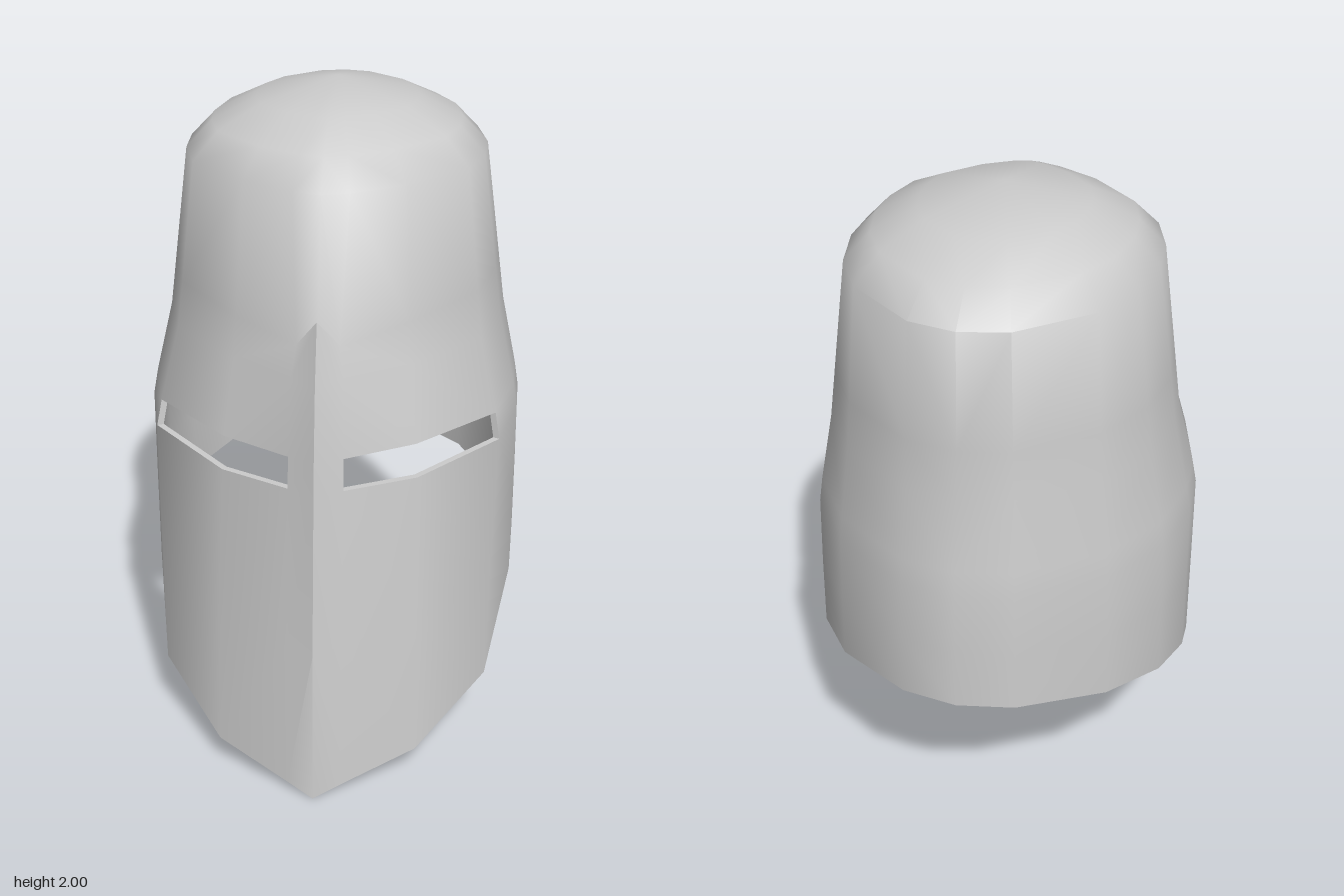
import * as THREE from 'three';
import { toCreasedNormals } from 'three/addons/utils/BufferGeometryUtils.js';

const V = (x, y, z) => new THREE.Vector3(x, y, z);

// Half cross-sections [x, z], from the middle of the back round to the front ridge
const RIM = [[0, -.745], [.17, -.71], [.41, -.54], [.54, -.345], [.585, -.14], [.577, .04], [.505, .355], [.3, .605], [.08, .71], [0, .745]];
const EYE = [[0, -.73], [.165, -.7], [.4, -.535], [.53, -.345], [.58, -.14], [.575, .03], [.52, .265], [.285, .495], [.08, .605], [0, .662]];
const BROW = [[0, -.685], [.155, -.66], [.37, -.51], [.48, -.33], [.52, -.14], [.51, 0], [.455, .2], [.255, .42], [.075, .545], [0, .607]];
const CROWN = [[0, -.655], [.14, -.625], [.34, -.46], [.42, -.31], [.452, -.14], [.445, 0], [.4, .15], [.23, .32], [.08, .405], [0, .43]];

// Heights along a row where it is not level
const RIM_Y = [.62, .615, .58, .54, .485, .415, .22, .1, .03, 0];
const SILL_Y = [1, 1, 1, 1, 1, 1, 1, .98, .985, .985];
const TIP_Y = [1.45, 1.45, 1.45, 1.45, 1.45, 1.45, 1.44, 1.42, 1.39, 1.475];

const mix = (a, b, t) => a.map(([x, z], i) => [x + (b[i][0] - x) * t, z + (b[i][1] - z) * t]);
const row = (section, y) => section.map(([x, z], i) => V(x, Array.isArray(y) ? y[i] : y, z));
const domeRow = (s, y) => row(CROWN.map(([x, z]) => [x * s, -.11 + (z + .11) * s]), y);

function makeRows() {
  const tip = mix(BROW, CROWN, .3);
  tip[8] = [.062, .51];
  tip[9] = [0, .547];
  return [
    row(RIM, RIM_Y),
    row(mix(RIM, EYE, .35), RIM_Y.map((y, i) => (y + SILL_Y[i]) / 2)),
    row(EYE, SILL_Y),
    row(mix(EYE, BROW, .22), 1.08),
    row(BROW, 1.3),
    row(tip, TIP_Y),
    row(CROWN, 1.8),
    domeRow(.83, 1.88),
    domeRow(.54, 1.945),
    domeRow(0, 2),
  ];
}

export function createModel() {
  const group = new THREE.Group();
  group.name = 'helmet';
  const material = new THREE.MeshStandardMaterial({ color: 0xcccccc });

  const rows = makeRows();
  const TIP_ROW = 5, LAST = 9, SLIT_ROW = 2;
  const wallBase = V(0, 1.44, .522); // crown wall just behind the ridge tip

  const outer = (r, c, upper) => (upper && r === TIP_ROW && c === LAST ? wallBase : rows[r][c]);
  const inner = (r, c) => {
    const p = outer(r, c, true);
    const drop = r > TIP_ROW ? .022 : 0;
    return V(p.x * .965, p.y - drop, p.z * .965);
  };

  const addTri = (list, side, a, b, c) => {
    if (a.distanceTo(b) < 1e-5 || b.distanceTo(c) < 1e-5 || a.distanceTo(c) < 1e-5) return;
    for (const p of side > 0 ? [a, b, c] : [a, c, b]) list.push(p.x * side, p.y, p.z);
  };
  const addMesh = (name, list) => {
    const g = new THREE.BufferGeometry();
    g.setAttribute('position', new THREE.Float32BufferAttribute(list, 3));
    const mesh = new THREE.Mesh(toCreasedNormals(g, .85), material);
    mesh.name = name;
    group.add(mesh);
  };

  const shell = [], lining = [], edges = [], ridgeTip = [];
  for (const side of [1, -1]) {
    const quad = (list, a, b, c, d) => {
      addTri(list, side, a, b, c);
      addTri(list, side, a, c, d);
    };
    // Strip joining the outer and inner walls along an edge
    const edge = (r1, c1, r2, c2) =>
      quad(edges, outer(r1, c1), outer(r2, c2), inner(r2, c2), inner(r1, c1));

    for (let r = 0; r < rows.length - 1; r++) {
      for (let c = 0; c < LAST; c++) {
        if (r === SLIT_ROW && (c === 6 || c === 7)) continue; // eye slit
        const up = r >= TIP_ROW;
        quad(shell, outer(r, c, up), outer(r + 1, c, up), outer(r + 1, c + 1, up), outer(r, c + 1, up));
        quad(lining, inner(r, c), inner(r, c + 1), inner(r + 1, c + 1), inner(r + 1, c));
      }
    }

    // Bottom rim
    for (let c = 0; c < LAST; c++) edge(0, c, 0, c + 1);

    // Eye slit: sill, lintel and both ends
    for (const c of [6, 7]) {
      edge(SLIT_ROW, c + 1, SLIT_ROW, c);
      edge(SLIT_ROW + 1, c, SLIT_ROW + 1, c + 1);
    }
    edge(SLIT_ROW, 6, SLIT_ROW + 1, 6);
    edge(SLIT_ROW + 1, 8, SLIT_ROW, 8);

    // Small step closing the top of the front ridge
    addTri(ridgeTip, side, rows[TIP_ROW][8], wallBase, rows[TIP_ROW][LAST]);
  }

  addMesh('outerShell', shell);
  addMesh('innerLining', lining);
  addMesh('rimAndSlitEdges', edges);
  addMesh('ridgeTip', ridgeTip);
  return group;
}
